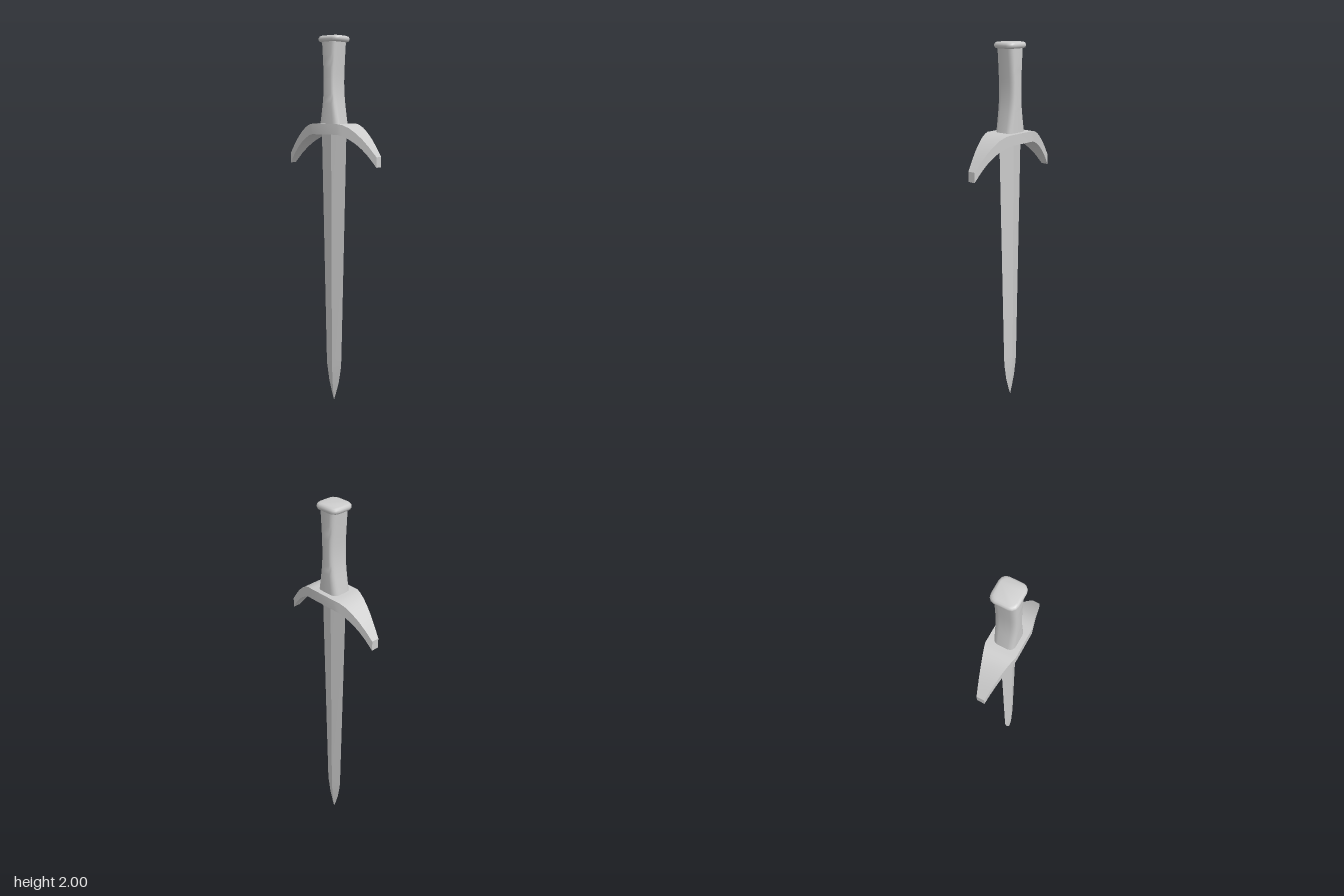
import * as THREE from 'three';
import { toCreasedNormals } from 'three/addons/utils/BufferGeometryUtils.js';

const material = new THREE.MeshStandardMaterial({ color: 0xcccccc });

// Skin a stack of equal-length rings of points and close both ends.
function loft(name, rings, crease) {
  const pos = [];
  const tri = (...pts) => pts.forEach((p) => pos.push(...p));
  const n = rings[0].length;
  for (let i = 0; i < rings.length - 1; i++) {
    for (let j = 0; j < n; j++) {
      const k = (j + 1) % n;
      const [a, b] = [rings[i], rings[i + 1]];
      tri(a[j], b[j], a[k]);
      tri(b[j], b[k], a[k]);
    }
  }
  const first = rings[0], last = rings[rings.length - 1];
  for (let j = 1; j < n - 1; j++) {
    tri(first[0], first[j], first[j + 1]);
    tri(last[0], last[j + 1], last[j]);
  }
  const geometry = new THREE.BufferGeometry();
  geometry.setAttribute('position', new THREE.Float32BufferAttribute(pos, 3));
  const mesh = new THREE.Mesh(toCreasedNormals(geometry, crease), material);
  mesh.name = name;
  return mesh;
}

// Rounded rectangle at height y with half sizes hx, hz.
function roundedRing(y, hx, hz, segments) {
  const ring = [];
  for (let corner = 0; corner < 4; corner++) {
    const sx = corner === 0 || corner === 3 ? 1 : -1;
    const sz = corner < 2 ? 1 : -1;
    for (let s = 0; s <= segments; s++) {
      const a = (corner + s / segments) * Math.PI / 2;
      ring.push([hx * 0.5 * (sx + Math.cos(a)), y, hz * 0.5 * (sz + Math.sin(a))]);
    }
  }
  return ring;
}

export function createModel() {
  const group = new THREE.Group();

  // Blade: diamond section, [height, half thickness, half width]
  const blade = [
    [0, 0.0005, 0.0005], [0.04, 0.006, 0.014], [0.11, 0.013, 0.034],
    [0.2, 0.018, 0.049], [0.25, 0.019, 0.052], [1.51, 0.025, 0.083],
  ].map(([y, x, z]) => [[x, y, 0], [0, y, z], [-x, y, 0], [0, y, -z]]);
  group.add(loft('blade', blade, 0.3));

  // Crossguard: drooping arch, [z, top, bottom], mirrored front to back
  const half = [
    [0.083, 1.55, 1.495], [0.11, 1.545, 1.489], [0.145, 1.53, 1.472],
    [0.18, 1.505, 1.45], [0.215, 1.474, 1.421], [0.25, 1.435, 1.384], [0.29, 1.385, 1.332],
  ];
  const arch = [...half.map(([z, t, b]) => [-z, t, b]).reverse(), ...half];
  const guard = arch.map(([z, t, b]) => {
    const w = THREE.MathUtils.mapLinear(Math.abs(z), 0.083, 0.29, 0.081, 0.021);
    return [[w, t, z], [w, b, z], [-w, b, z], [-w, t, z]];
  });
  group.add(loft('crossguard', guard, 0.5));

  // Grip: waisted along z, constant across x
  const waist = new THREE.SplineCurve([
    [0.066, 1.54], [0.053, 1.61], [0.041, 1.69], [0.037, 1.77], [0.041, 1.86], [0.05, 1.98],
  ].map(([z, y]) => new THREE.Vector2(z, y)));
  const grip = waist.getPoints(16).map((p) => roundedRing(p.y, 0.055, p.x, 4));
  group.add(loft('grip', grip, 0.8));

  // Pommel: rounded cap
  const pommel = [
    [0.054, 1.968], [0.063, 1.972], [0.067, 1.982], [0.066, 1.99], [0.061, 1.997], [0.053, 2],
  ].map(([h, y]) => roundedRing(y, h * 0.98, h * 1.03, 3));
  group.add(loft('pommel', pommel, 0.9));

  return group;
}
